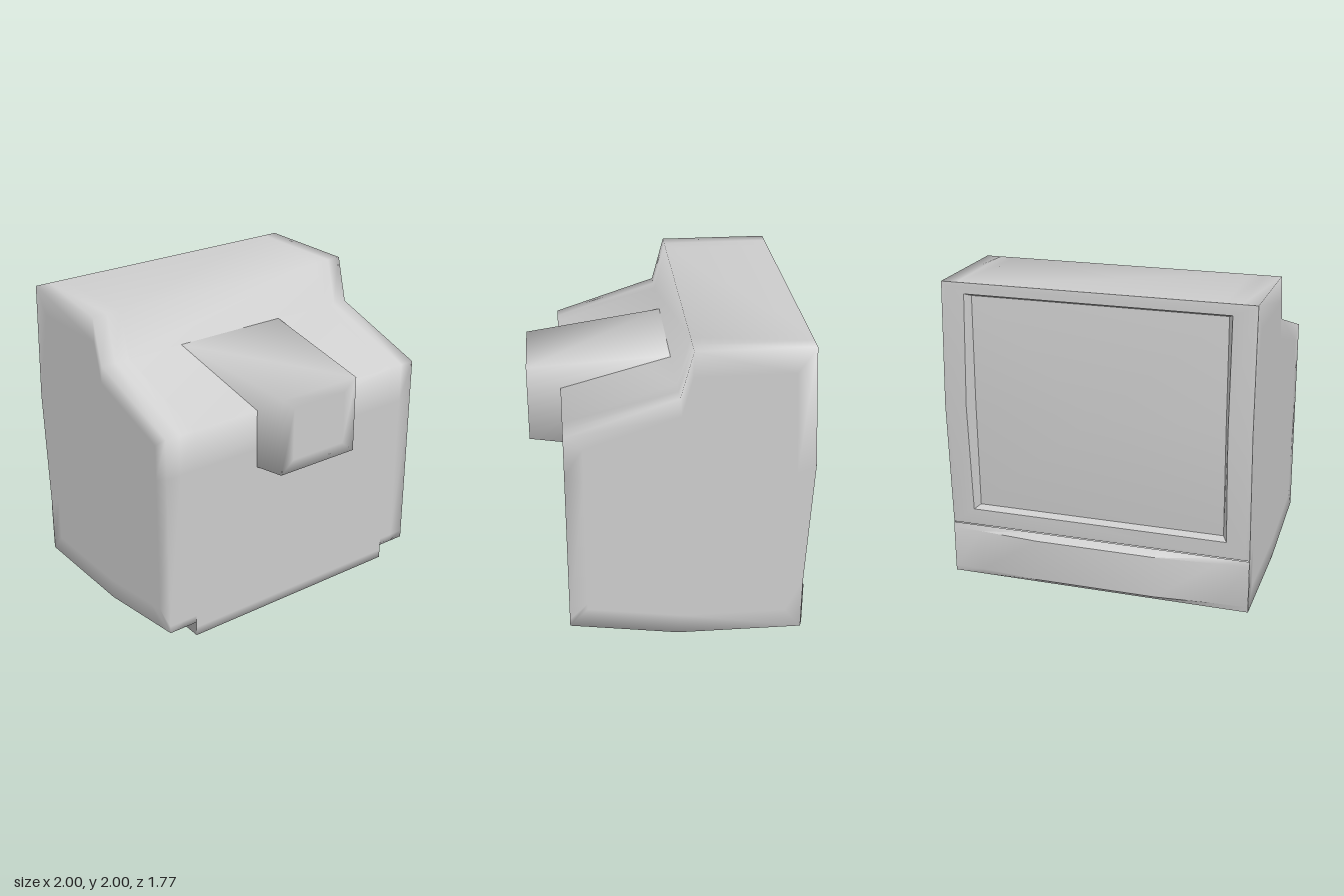
import * as THREE from 'three';
import { mergeVertices, toCreasedNormals } from 'three/addons/utils/BufferGeometryUtils.js';

// Skins a list of equal-length rings of [x, y, z] points.
function loft(rings, { closed = true, crease = 0, skip = () => false } = {}) {
  const n = rings[0].length;
  const index = [];
  for (let i = 0; i < rings.length - 1; i++) {
    for (let j = 0; j < (closed ? n : n - 1); j++) {
      if (skip(i, j)) continue;
      const k = (j + 1) % n;
      const a = i * n + j, b = i * n + k, c = b + n, d = a + n;
      index.push(a, b, d, b, c, d);
    }
  }
  let geo = new THREE.BufferGeometry();
  geo.setAttribute('position', new THREE.Float32BufferAttribute(rings.flat(2), 3));
  geo.setIndex(index);
  geo = mergeVertices(geo, 1e-4);
  if (crease) return toCreasedNormals(geo, crease);
  geo.computeVertexNormals();
  return geo;
}

export function createModel() {
  const group = new THREE.Group();
  const grey = new THREE.MeshStandardMaterial({ color: 0xcccccc, side: THREE.DoubleSide });
  grey.name = 'casing grey';
  const add = (name, geo) => {
    const mesh = new THREE.Mesh(geo, grey);
    mesh.name = name;
    group.add(mesh);
  };

  // Casing: side profile as [z, y]; the outer columns are cut up at the lower front
  const profile = (cut) => [
    [-0.835, 0], [-0.03, 0], [0.55, cut ? 0.083 : 0], [0.67, cut ? 0.1 : 0],
    [0.67, cut ? 0.15 : 0.06], [0.67, 1.2], [0.67, 1.47], [-0.03, 1.7],
    [-0.11, 2], [-0.835, 2], [-0.874, 1.2], [-0.835, 0.36],
  ];
  // scale < 1 shrinks the profile towards the middle of the side wall
  const column = (x, cut, scale = 1) => profile(cut).map(([z, y]) =>
    [x, 0.9 + (y - 0.9) * scale, -0.1 + (z + 0.1) * scale]);
  const columns = [
    column(1, true, 0), column(1, true, 0.85), column(1, true),
    column(0.9, true), column(0.8, true), column(0.8, false),
    column(-0.8, false), column(-0.8, true), column(-0.9, true),
    column(-1, true), column(-1, true, 0.85), column(-1, true, 0),
  ];
  // the tube between the side walls stays open at the screen end
  add('casing', loft(columns, { skip: (i, j) => j >= 9 && i >= 2 && i <= 8 }));

  // Screen surround and the bulging screen set into it
  const loop = (w, bottom, top, z, zMid) => [
    [w, bottom, z], [-w, bottom, z], [-w, 1.2, zMid],
    [-w, top, z], [w, top, z], [w, 1.2, zMid],
  ];
  const screenEdge = loop(0.82, 0.49, 1.91, -0.79, -0.8);
  add('screenFrame', loft([
    loop(1, 0.36, 2, -0.835, -0.874),
    loop(0.97, 0.38, 1.98, -0.838, -0.882),
    loop(0.85, 0.47, 1.93, -0.838, -0.882),
    screenEdge,
  ], { crease: 0.6 }));
  add('screen', loft([screenEdge, screenEdge.map(() => [0, 1.2, -0.865])]));

  // Control panel below the screen, bowed outwards in the middle
  const panel = [[-1, 0.84], [-0.8, 0.85], [-0.4, 0.883], [0.4, 0.883], [0.8, 0.85], [1, 0.84]];
  add('lowerPanel', loft(panel.map(([x, depth]) => [
    [x, 0, -0.835], [x, 0.04, -depth], [x, 0.32, -depth], [x, 0.355, -0.835],
  ]), { closed: false, crease: 0.6 }));

  // Tapered housing for the tube neck
  const section = (w, bottom, top, z) =>
    [[-w, bottom, z], [w, bottom, z], [w, top, z], [-w, top, z]];
  add('neckHousing', loft([
    section(0.4, 1.01, 1.702, -0.03),
    section(0.295, 1.1, 1.61, 0.885),
    section(0.2, 1.18, 1.53, 0.885),
    section(0, 1.355, 1.355, 0.885),
  ]));

  return group;
}
